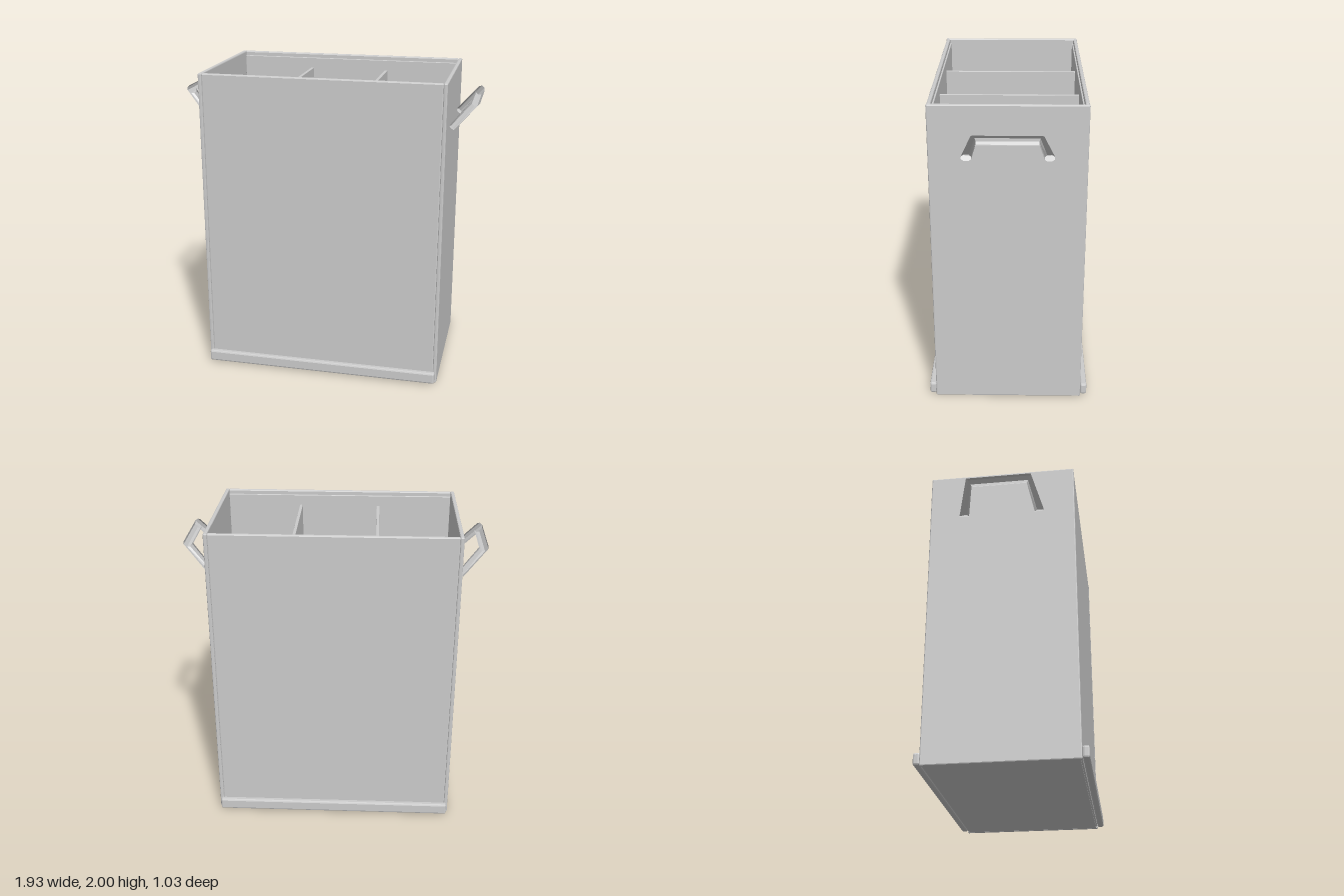
import * as THREE from 'three';
import { RoundedBoxGeometry } from 'three/addons/geometries/RoundedBoxGeometry.js';

const material = new THREE.MeshStandardMaterial({ color: 0xcccccc, flatShading: true });

// Chamfered board given by its size and centre
function board(name, w, h, d, x, y, z, chamfer = 0.006) {
  const mesh = new THREE.Mesh(new RoundedBoxGeometry(w, h, d, 1, chamfer), material);
  mesh.name = name;
  mesh.position.set(x, y, z);
  return mesh;
}

// Chamfered bar lofted through mitred sections; s runs outward along the tilted handle plane
function handleGeometry() {
  const stations = [ // outer edge [s, z], inner edge [s, z], half thickness
    { out: [0.0, 0.275], inn: [-0.005, 0.215], t: 0.02 },
    { out: [0.235, 0.208], inn: [0.18, 0.18], t: 0.024 },
    { out: [0.235, -0.208], inn: [0.18, -0.18], t: 0.024 },
    { out: [0.0, -0.275], inn: [-0.005, -0.215], t: 0.02 },
  ];
  // Octagonal section: [position from inner 0 to outer 1, thickness factor]
  const section = [[0, -0.45], [0.25, -1], [0.75, -1], [1, -0.45], [1, 0.45], [0.75, 1], [0.25, 1], [0, 0.45]];
  const d = new THREE.Vector2(0.66, 0.751);
  const n = section.length, positions = [], index = [];
  for (const { out, inn, t } of stations) {
    for (const [k, f] of section) {
      const s = THREE.MathUtils.lerp(inn[0], out[0], k);
      const z = THREE.MathUtils.lerp(inn[1], out[1], k);
      positions.push(0.8 + s * d.x - f * t * d.y, 1.683 + s * d.y + f * t * d.x, z);
    }
  }
  for (let r = 0; r < stations.length - 1; r++) {
    for (let i = 0; i < n; i++) {
      const a = r * n + i, b = r * n + (i + 1) % n;
      index.push(a, b, a + n, b, b + n, a + n);
    }
  }
  // End caps
  const last = (stations.length - 1) * n;
  for (let i = 1; i < n - 1; i++) {
    index.push(0, i + 1, i, last, last + i, last + i + 1);
  }
  const g = new THREE.BufferGeometry();
  g.setAttribute('position', new THREE.Float32BufferAttribute(positions, 3));
  g.setIndex(index);
  g.computeVertexNormals();
  return g;
}

export function createModel() {
  const model = new THREE.Group();
  model.name = 'dividedBin';

  // Floor
  model.add(board('floor', 1.53, 0.03, 0.92, 0, 0.018, 0, 0.003));

  // Side walls, and front and back walls set between them
  for (const side of [1, -1]) {
    model.add(board(side > 0 ? 'leftWall' : 'rightWall', 0.025, 2, 0.944, side * 0.7735, 1, 0, 0.007));
    model.add(board(side > 0 ? 'frontWall' : 'backWall', 1.526, 1.99, 0.025, 0, 1.005, side * 0.4575, 0.008));
    // Inner lining strips just below the rim
    model.add(board('rimStrip', 1.52, 1.95, 0.012, 0, 0.995, side * 0.442, 0.003));
    // Skirting rails at the foot of the front and back
    model.add(board(side > 0 ? 'frontRail' : 'backRail', 1.55, 0.075, 0.042, 0, 0.0475, side * 0.493, 0.011));
  }

  // Two inner dividers
  for (const x of [-0.267, 0.262]) {
    model.add(board('divider', 0.02, 1.87, 0.875, x, 0.965, 0, 0.002));
  }

  // Tilted carrying handles
  const geometry = handleGeometry();
  for (const side of [1, -1]) {
    const handle = new THREE.Mesh(geometry, material);
    handle.name = side > 0 ? 'leftHandle' : 'rightHandle';
    if (side < 0) handle.rotation.y = Math.PI;
    model.add(handle);
  }
  return model;
}
